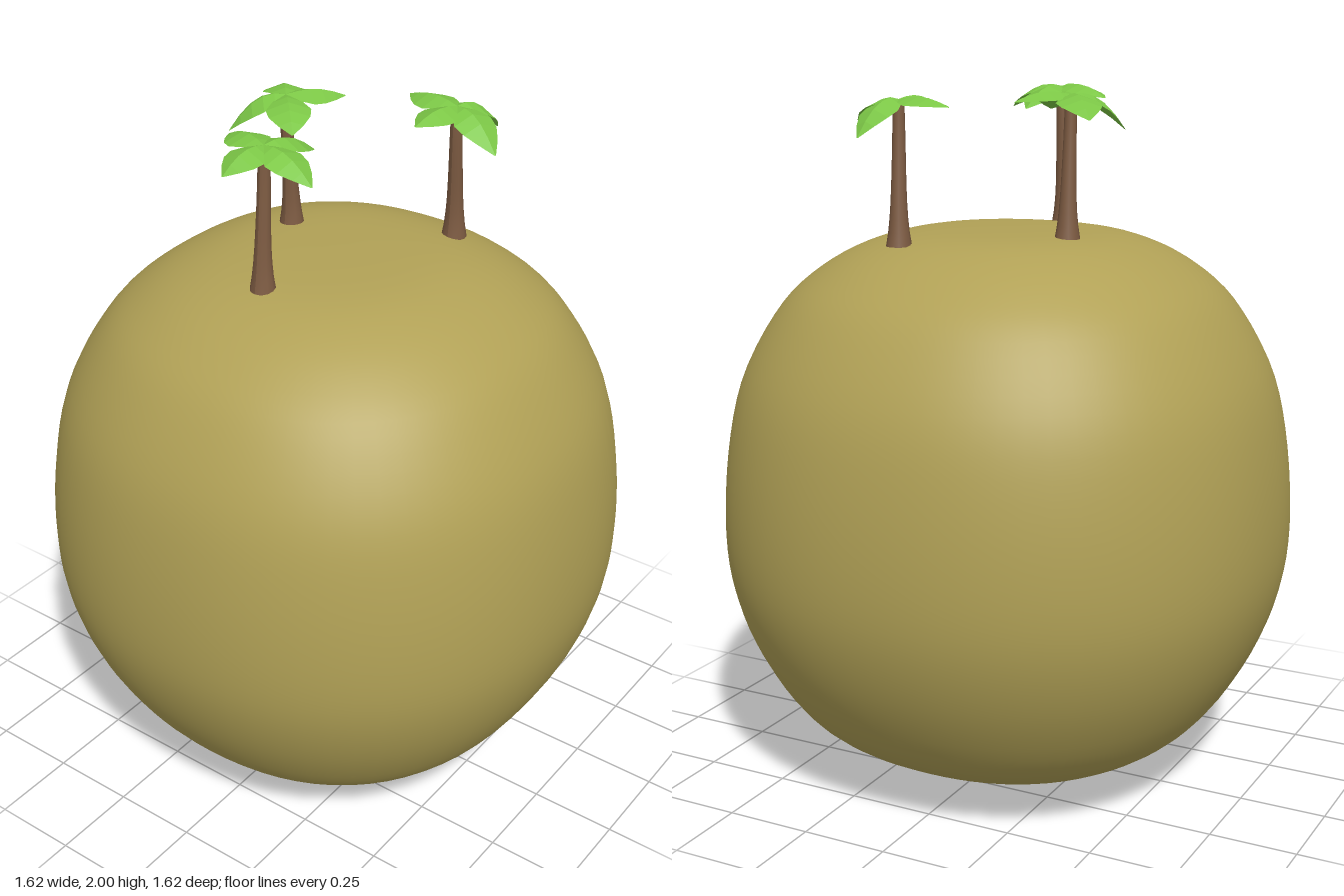
import * as THREE from 'three';
import { mergeVertices } from 'three/addons/utils/BufferGeometryUtils.js';

const earth = new THREE.MeshStandardMaterial({ color: 0xb1a156 });
earth.name = 'earth';
const bark = new THREE.MeshStandardMaterial({ color: 0x7d5b42 });
bark.name = 'bark';
const leafGreen = new THREE.MeshStandardMaterial({ color: 0x7cc746, side: THREE.DoubleSide });
leafGreen.name = 'leafGreen';
leafGreen.flatShading = true;

// Rounded boulder: a turned profile whose rings are slightly squared
function makeBoulder() {
  const outline = [
    [0, 0], [0.2, 0.02], [0.42, 0.085], [0.59, 0.19], [0.71, 0.36], [0.785, 0.55], [0.81, 0.74],
    [0.795, 0.98], [0.745, 1.2], [0.64, 1.39], [0.53, 1.495], [0.4, 1.565], [0.25, 1.6], [0, 1.608],
  ].map(([r, y]) => new THREE.Vector2(r, y));
  const profile = new THREE.SplineCurve(outline).getPoints(56);
  profile.forEach((p) => { p.x = Math.max(p.x, 0); });
  profile[0].x = profile[profile.length - 1].x = 0;
  let geo = new THREE.LatheGeometry(profile, 72);
  const pos = geo.attributes.position;
  const n = 2.2;
  for (let i = 0; i < pos.count; i++) {
    const x = pos.getX(i), z = pos.getZ(i), r = Math.hypot(x, z);
    if (r < 1e-6) continue;
    const k = Math.pow(Math.abs(x / r) ** n + Math.abs(z / r) ** n, -1 / n);
    pos.setX(i, x * k);
    pos.setZ(i, z * k);
  }
  geo.deleteAttribute('uv');
  geo.deleteAttribute('normal');
  geo = mergeVertices(geo, 1e-5);
  geo.computeVertexNormals();
  return new THREE.Mesh(geo, earth);
}

// Trunk: a tapered cylinder with a flared foot, bent along an S curve
function makeTrunk(base, top) {
  const geo = new THREE.CylinderGeometry(1, 1, 1, 12, 10);
  const pos = geo.attributes.position;
  for (let i = 0; i < pos.count; i++) {
    const t = pos.getY(i) + 0.5;
    const r = 0.016 + 0.008 * (1 - t) + 0.012 * Math.pow(1 - t, 6);
    const bend = t * t * (3 - 2 * t);
    pos.setXYZ(i,
      THREE.MathUtils.lerp(base[0], top[0], bend) + pos.getX(i) * r,
      THREE.MathUtils.lerp(base[1], top[1], t),
      THREE.MathUtils.lerp(base[2], top[2], bend) + pos.getZ(i) * r);
  }
  geo.computeVertexNormals();
  return new THREE.Mesh(geo, bark);
}

// Leaf: rows of three points (edge, raised midrib, edge) arching to a drooping tip
function makeLeaf(root, tip) {
  const halfWidths = [0.014, 0.042, 0.062, 0.056, 0.034, 0.002];
  const rows = halfWidths.length;
  const dx = tip[0] - root[0], dy = tip[1] - root[1], dz = tip[2] - root[2];
  const len = Math.hypot(dx, dz);
  const points = [], faces = [];
  halfWidths.forEach((w, i) => {
    const t = i / (rows - 1);
    const y = root[1] + dy * t * t + 0.012 * Math.sin(Math.PI * t);
    for (const s of [-1, 0, 1]) {
      points.push(
        root[0] + dx * t - (dz / len) * w * s,
        y - Math.abs(s) * w * 0.35,
        root[2] + dz * t + (dx / len) * w * s);
    }
    if (i === rows - 1) return;
    for (let j = 0; j < 2; j++) {
      const a = i * 3 + j, b = a + 1, c = a + 3, d = a + 4;
      faces.push(a, b, c, b, d, c);
    }
  });
  const geo = new THREE.BufferGeometry();
  geo.setAttribute('position', new THREE.Float32BufferAttribute(points, 3));
  geo.setIndex(faces);
  // Keep the upper side as the front
  geo.computeVertexNormals();
  if (geo.attributes.normal.getY(4) < 0) {
    geo.setIndex(faces.slice().reverse());
    geo.computeVertexNormals();
  }
  return new THREE.Mesh(geo, leafGreen);
}

// Palms: trunk foot, trunk top and the four leaf tips
const palms = [
  {
    name: 'backPalm', base: [0.18, 1.58, -0.315], top: [0.19, 1.968, -0.29],
    tips: [[0.01, 1.96, -0.33], [0.23, 1.88, -0.44], [0.35, 1.89, -0.235], [0.155, 1.955, -0.14]],
  },
  {
    name: 'rightPalm', base: [-0.222, 1.595, -0.085], top: [-0.217, 1.98, -0.06],
    tips: [[-0.34, 1.93, -0.205], [-0.11, 1.97, -0.19], [-0.095, 1.94, 0.07], [-0.335, 1.89, 0.045]],
  },
  {
    name: 'frontPalm', base: [-0.034, 1.59, 0.285], top: [-0.034, 1.985, 0.268],
    tips: [[-0.2, 1.965, 0.205], [0.0, 1.935, 0.1], [0.14, 1.93, 0.295], [-0.055, 1.95, 0.41]],
  },
];

export function createModel() {
  const model = new THREE.Group();
  model.name = 'palmBoulder';
  const boulder = makeBoulder();
  boulder.name = 'boulder';
  model.add(boulder);

  for (const { name, base, top, tips } of palms) {
    const palm = new THREE.Group();
    palm.name = name;
    const trunk = makeTrunk(base, top);
    trunk.name = 'trunk';
    palm.add(trunk);
    tips.forEach((tip, i) => {
      const root = [top[0], top[1] + 0.008, top[2]];
      const leaf = makeLeaf(root, tip);
      leaf.name = `leaf${i + 1}`;
      palm.add(leaf);
    });
    model.add(palm);
  }
  return model;
}
